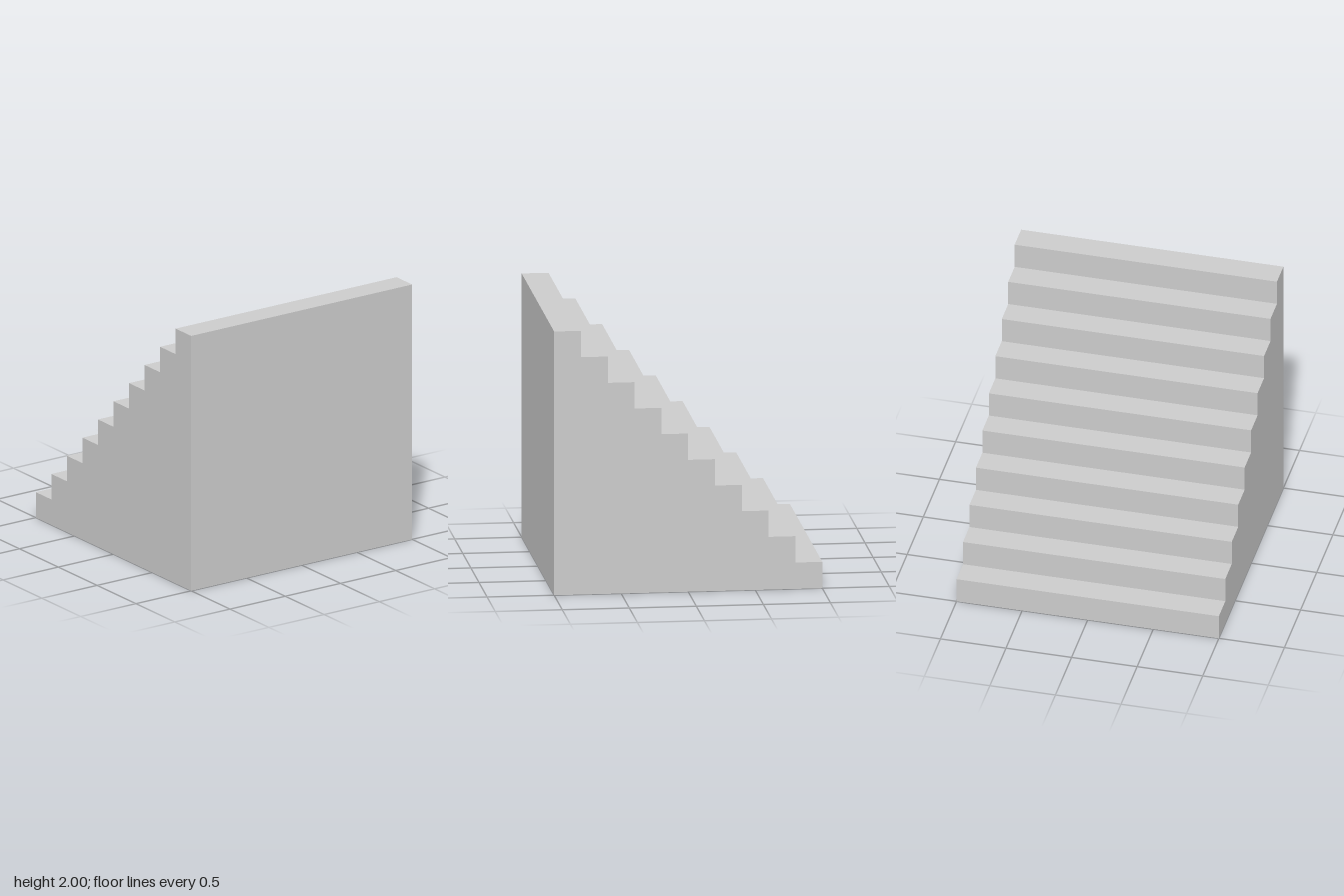
import * as THREE from 'three';

const STEPS = 10;
const SIZE = 2; // run, rise and width of the whole flight

export function createModel() {
  const group = new THREE.Group();
  group.name = 'staircase';

  // Stepped side profile, climbing towards +x
  const step = SIZE / STEPS;
  const half = SIZE / 2;
  const profile = new THREE.Shape();
  profile.moveTo(-half, 0);
  profile.lineTo(half, 0);
  for (let i = STEPS; i > 0; i--) {
    profile.lineTo(-half + i * step, i * step); // front end of the tread above
    profile.lineTo(-half + (i - 1) * step, i * step); // nosing
  }
  profile.closePath();

  // Solid flight of steps, extruded across its width
  const geometry = new THREE.ExtrudeGeometry(profile, { depth: SIZE, bevelEnabled: false });
  geometry.translate(0, 0, -half);
  const stairs = new THREE.Mesh(
    geometry,
    new THREE.MeshStandardMaterial({ color: 0xcccccc, flatShading: true })
  );
  stairs.name = 'steps';
  group.add(stairs);

  return group;
}
